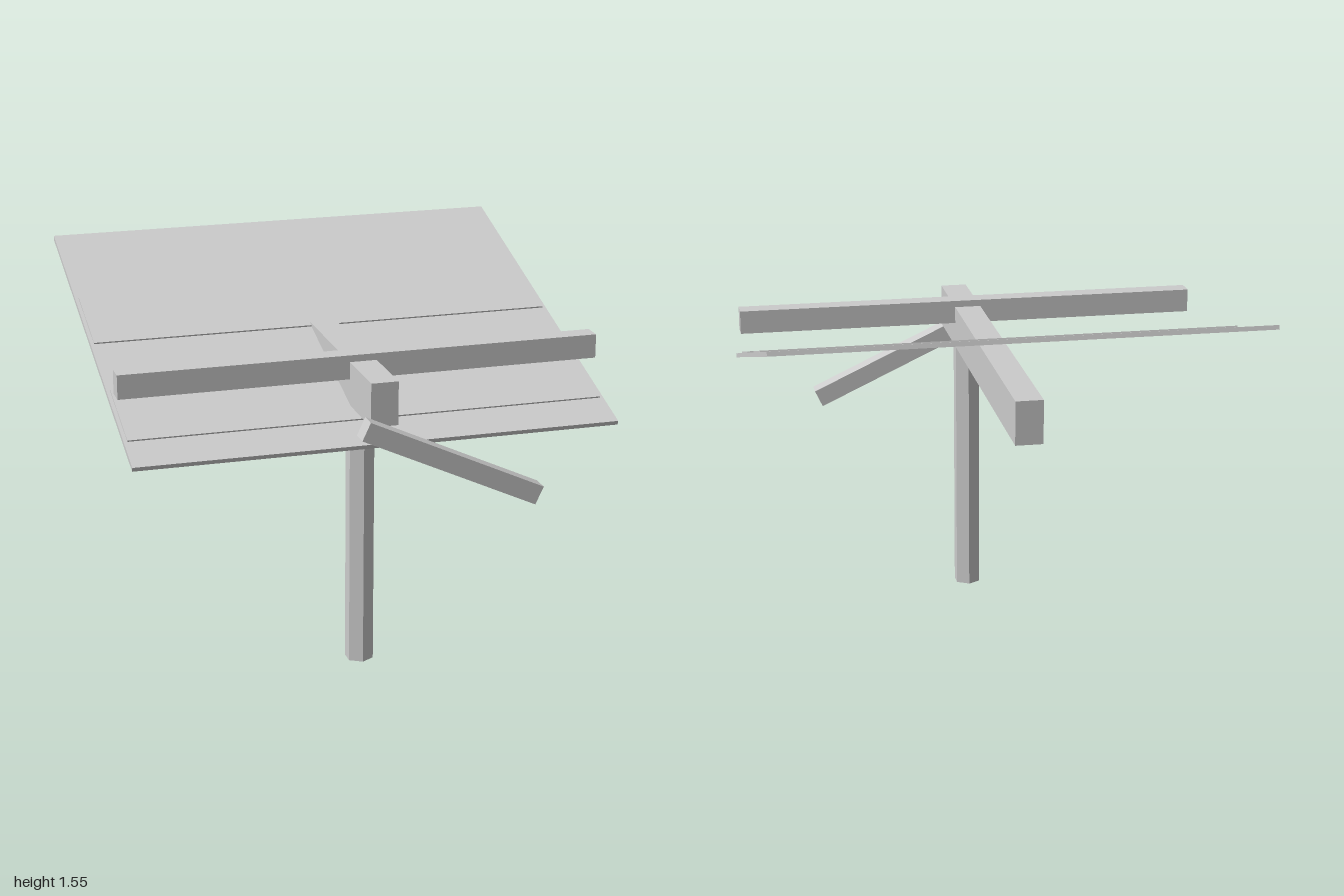
import * as THREE from 'three';

export function createModel() {
  const model = new THREE.Group();
  const grey = new THREE.MeshStandardMaterial({ color: 0xcccccc, flatShading: true });
  grey.name = 'plain grey';

  const add = (name, geometry, x, y, z, parent = model) => {
    const mesh = new THREE.Mesh(geometry, grey);
    mesh.name = name;
    mesh.position.set(x, y, z);
    parent.add(mesh);
    return mesh;
  };
  const box = (name, w, h, d, x, y, z, parent) =>
    add(name, new THREE.BoxGeometry(w, h, d), x, y, z, parent);

  // Hexagonal post with an edge facing forward
  const postHeight = 1.14;
  add('post', new THREE.CylinderGeometry(0.06, 0.06, postHeight, 6), 0, postHeight / 2, 0.5);

  // Main beam running front to back, and the bar across it
  box('mainBeam', 0.112, 0.18, 1.735, 0, 1.222, -0.0375);
  box('crossBar', 2, 0.1, 0.08, 0, 1.29, 0.5);

  // Slanted arm on the front end of the beam
  const arm = box('slantedArm', 0.8, 0.08, 0.075, 0.266, 0.973, 0.8675);
  arm.rotation.z = -THREE.MathUtils.degToRad(25);

  // Tilted panel with two thin raised strips
  const thickness = 0.018;
  const raise = 0.006;
  const panel = new THREE.Group();
  panel.name = 'tiltedPanel';
  panel.position.set(0, 1.2925, -0.036);
  panel.rotation.x = THREE.MathUtils.degToRad(16.7);
  model.add(panel);
  box('panelSheet', 2, thickness, 1.745, 0, 0, 0, panel);
  for (const z of [0.525, -0.17]) {
    box('raisedStrip', 1.97, raise, 0.355, 0, (thickness + raise) / 2, z, panel);
  }

  return model;
}
